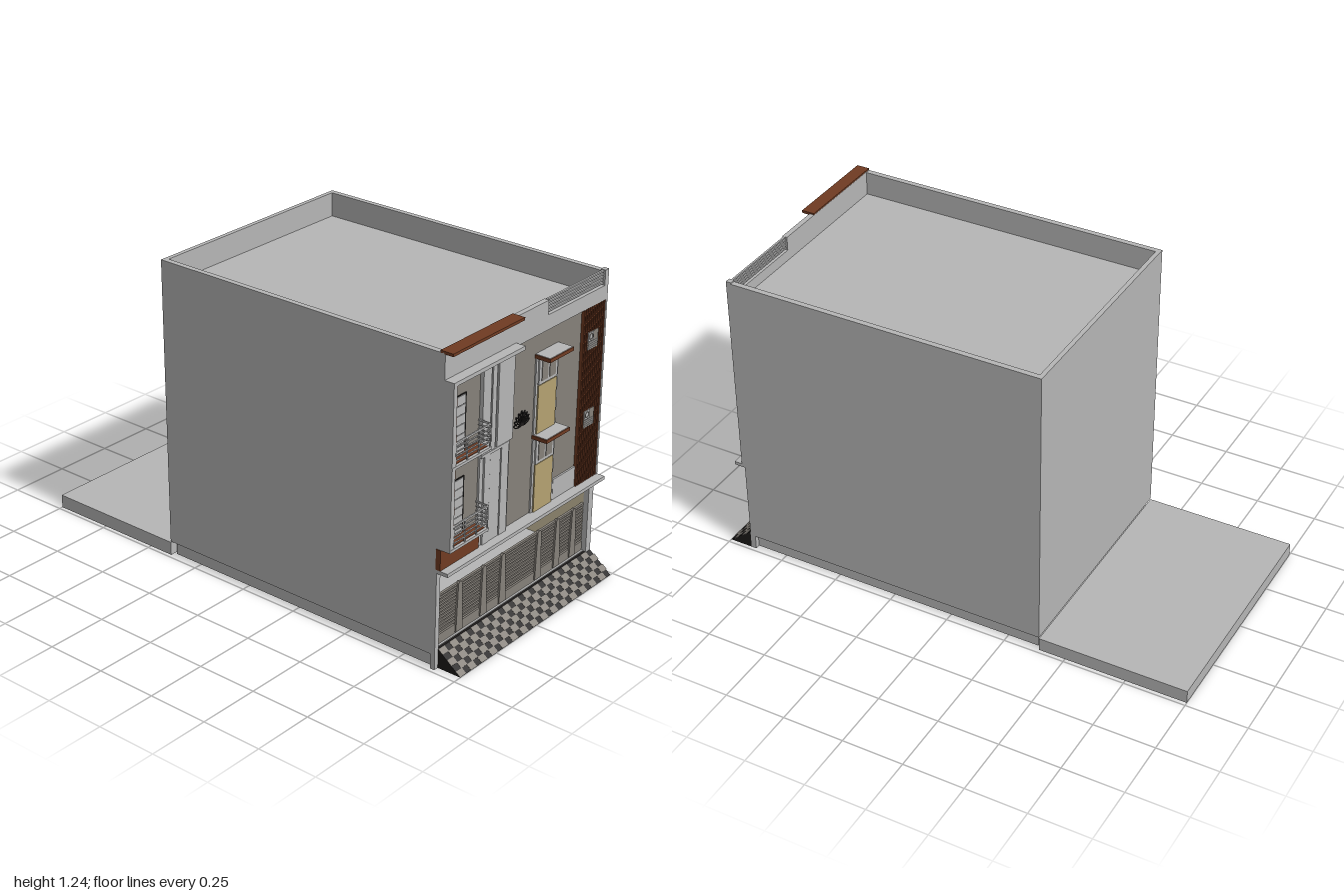
import * as THREE from 'three';
import { mergeGeometries } from 'three/addons/utils/BufferGeometryUtils.js';

const mat = (name, color) => {
  const m = new THREE.MeshStandardMaterial({ color });
  m.name = name;
  return m;
};

export function createModel() {
  const root = new THREE.Group();
  root.name = 'townhouse';
  const plaster = mat('light plaster', 0xb6b6b6);
  const taupe = mat('taupe wall', 0x86817a);
  const wood = mat('brown wood', 0x703b22);
  const cream = mat('cream wall', 0xd3c8a6);
  const tan = mat('tan panel', 0xb5a271);
  const black = mat('black', 0x1c1a19);

  const add = (name, material, geometry, parent = root) => {
    const m = new THREE.Mesh(geometry, material);
    m.name = name;
    parent.add(m);
    return m;
  };
  // Box from its limits: x0, x1, y0, y1, z0, z1
  const bx = (x0, x1, y0, y1, z0, z1) =>
    new THREE.BoxGeometry(x1 - x0, y1 - y0, z1 - z0)
      .translate((x0 + x1) / 2, (y0 + y1) / 2, (z0 + z1) / 2);
  const boxes = (name, material, list, parent) =>
    add(name, material, mergeGeometries(list.map((b) => bx(...b))), parent);

  // Foundation, rear yard and hollow ground floor
  boxes('foundation', plaster, [[-0.465, 0.465, 0, 0.08, -0.378, 0.89]]);
  boxes('rearYard', plaster, [[-0.485, 0.485, 0, 0.055, -1, -0.39]]);
  boxes('groundFloorWalls', plaster, [
    [-0.485, -0.463, 0.06, 0.4, -0.39, 0.9], [0.463, 0.485, 0.06, 0.4, -0.39, 0.9],
    [-0.463, 0.463, 0.06, 0.4, -0.39, -0.36],
    [-0.485, -0.463, 0, 0.06, 0.88, 0.9], [0.455, 0.485, 0, 0.395, 0.88, 0.902],
  ]);
  boxes('garageLining', cream, [
    [-0.463, -0.457, 0.08, 0.4, -0.35, 0.88], [0.457, 0.463, 0.08, 0.4, -0.35, 0.88],
    [-0.463, 0.463, 0.08, 0.4, -0.36, -0.352],
  ]);

  // Upper storeys, roof and parapet
  boxes('upperStoreys', plaster, [[-0.485, 0.485, 0.392, 1.135, -0.39, 0.895]]);
  boxes('parapet', plaster, [
    [-0.485, -0.463, 1.135, 1.232, -0.39, 0.895], [0.463, 0.485, 1.135, 1.232, -0.39, 0.895],
    [-0.463, 0.463, 1.135, 1.232, -0.39, -0.372],
    [-0.485, 0.485, 1.12, 1.178, 0.894, 0.915], [-0.485, 0.11, 1.178, 1.234, 0.894, 0.915],
    [0.463, 0.485, 1.178, 1.238, 0.894, 0.915], [0.475, 0.485, 0.4, 1.12, 0.894, 0.915],
  ]);
  boxes('parapetCap', wood, [[-0.485, -0.08, 1.229, 1.24, 0.895, 0.948]]);
  const rails = [];
  for (let i = 0; i < 5; i++) rails.push([0.11, 0.463, 1.184 + i * 0.0115, 1.190 + i * 0.0115, 0.9, 0.908]);
  boxes('parapetRails', plaster, rails);
  boxes('facadeWall', taupe, [[-0.465, 0.475, 0.408, 1.12, 0.893, 0.9]]);
  boxes('ledge', plaster, [[-0.485, 0.485, 0.393, 0.407, 0.88, 0.948]]);
  boxes('lowWallPanel', plaster, [[0.2, 0.342, 0.407, 0.49, 0.895, 0.907]]);

  // Chequered entry ramp
  const wedge = new THREE.Shape([[0.89, 0], [1, 0], [0.9, 0.077], [0.89, 0.077]].map((p) => new THREE.Vector2(...p)));
  add('ramp', black, new THREE.ExtrudeGeometry(wedge, { depth: 0.95, bevelEnabled: false })
    .rotateY(-Math.PI / 2).translate(0.485, 0, 0));
  const tiles = new THREE.Group();
  tiles.name = 'rampTiles';
  tiles.position.set(0, 0.077, 0.9);
  tiles.rotation.x = Math.atan2(0.077, 0.1);
  root.add(tiles);
  const tileList = [];
  const w = 0.95 / 30, d = 0.126 / 5;
  for (let r = 0; r < 5; r++)
    for (let c = 0; c < 30; c++)
      if ((r + c) % 2 === 0)
        tileList.push([-0.465 + c * w, -0.465 + (c + 1.12) * w, -0.001, 0.001, r * d, (r + 1) * d]);
  boxes('paleTiles', taupe, tileList, tiles);

  // Louvred folding gate with tapered posts
  const slats = [[-0.457, 0.457, 0.08, 0.118, 0.872, 0.882], [-0.457, 0.457, 0.274, 0.282, 0.872, 0.882]];
  for (let i = 0; i < 11; i++) {
    const y = 0.124 + i * 0.0138;
    slats.push([-0.457, 0.457, y, y + 0.0085, 0.874, 0.88]);
  }
  boxes('gateSlats', taupe, slats);
  const post = new THREE.Shape([[-0.02, 0.085], [-0.011, 0.28], [-0.004, 0.287], [0.004, 0.287], [0.011, 0.28], [0.02, 0.085]]
    .map((p) => new THREE.Vector2(...p)));
  for (const x of [-0.325, -0.18, -0.065, 0.16, 0.28, 0.385])
    add('gatePost', taupe, new THREE.ExtrudeGeometry(post, { depth: 0.012, bevelEnabled: false }))
      .position.set(x, 0, 0.875);

  // Balcony bay: side wall, head beam and wooden lining
  boxes('bayFrame', plaster, [
    [-0.485, -0.467, 0.49, 1.135, 0.894, 0.955], [-0.485, -0.08, 1.12, 1.135, 0.894, 0.955],
  ]);
  boxes('bayLining', wood, [[-0.467, -0.463, 0.5, 1.12, 0.9, 0.953]]);
  boxes('bayBasePanel', wood, [[-0.485, -0.262, 0.407, 0.488, 0.894, 0.915]]);

  // Two storeys of balcony and door
  for (const y of [0.49, 0.808]) {
    const g = new THREE.Group();
    g.name = 'balcony';
    g.position.y = y;
    root.add(g);
    boxes('balconySlab', plaster, [[-0.485, -0.262, 0, 0.011, 0.894, 0.956]], g);
    boxes('balconyFloor', wood, [[-0.463, -0.272, 0.011, 0.013, 0.9, 0.945]], g);
    const bars = [];
    for (let i = 0; i < 5; i++) {
      const h = 0.028 + i * 0.0165, t = i === 4 ? 0.007 : 0.0035;
      bars.push([-0.467, -0.264, h, h + t, 0.949, 0.954], [-0.268, -0.264, h, h + t, 0.9, 0.954]);
    }
    for (const x of [-0.465, -0.4, -0.333, -0.268]) bars.push([x, x + 0.004, 0.01, 0.1, 0.949, 0.954]);
    boxes('balconyRailing', plaster, bars, g);
    boxes('doorFrame', black, [[-0.44, -0.343, 0.011, 0.232, 0.898, 0.903]], g);
    const leaf = [];
    for (let i = 0; i < 6; i++) leaf.push([-0.437, -0.351, 0.012 + i * 0.0365, 0.046 + i * 0.0365, 0.9, 0.906]);
    boxes('doorLeaf', plaster, leaf, g);
    boxes('doorHandle', black, [[-0.433, -0.425, 0.11, 0.118, 0.904, 0.911]], g);
  }

  // Stepped pilasters beside the bay
  boxes('pilasters', plaster, [
    [-0.262, -0.1, 0.407, 0.765, 0.894, 0.908], [-0.262, -0.08, 0.765, 1.12, 0.894, 0.908],
    [-0.242, -0.21, 0.407, 0.757, 0.9, 0.915], [-0.207, -0.147, 0.407, 0.757, 0.9, 0.913],
    [-0.143, -0.1, 0.407, 0.757, 0.9, 0.915], [-0.262, -0.1, 0.757, 0.768, 0.9, 0.917],
    [-0.262, -0.216, 0.768, 1.12, 0.9, 0.915], [-0.205, -0.181, 0.768, 1.12, 0.9, 0.913],
    [-0.172, -0.08, 0.768, 1.12, 0.9, 0.915], [-0.1, -0.08, 0.407, 0.768, 0.894, 0.903],
  ]);

  // Window tower: two windows, each with a panel below and a canopy above
  for (const [base, sill, top] of [[0.407, 0.602, 0.71], [0.723, 0.917, 1.026]]) {
    const g = new THREE.Group();
    g.name = 'windowBay';
    root.add(g);
    boxes('windowFrame', plaster, [[0.063, 0.2, base, top, 0.894, 0.906], [0.075, 0.187, sill, top, 0.9, 0.912]], g);
    boxes('windowPanel', tan, [[0.075, 0.187, base, sill - 0.003, 0.9, 0.911]], g);
    boxes('windowPanes', taupe, [[0.09, 0.127, sill + 0.012, top - 0.012, 0.91, 0.914], [0.137, 0.174, sill + 0.012, top - 0.012, 0.91, 0.914]], g);
    boxes('canopy', wood, [[0.06, 0.205, top - 0.002, top + 0.012, 0.894, 0.966]], g);
    boxes('canopyTop', plaster, [[0.063, 0.202, top + 0.012, top + 0.014, 0.895, 0.963]], g);
  }

  // Vertical timber screen
  const fins = [];
  for (let i = 0; i < 11; i++) fins.push([0.344 + i * 0.0125, 0.351 + i * 0.0125, 0.407, 1.12, 0.895, 0.913]);
  boxes('timberScreen', wood, fins);

  // Cooling units on the screen
  for (const y of [0.635, 0.95]) {
    const g = new THREE.Group();
    g.name = 'coolingUnit';
    g.position.y = y;
    root.add(g);
    boxes('unitBody', taupe, [[0.372, 0.438, 0, 0.07, 0.9, 0.914]], g);
    const grille = [[0.372, 0.406, 0.036, 0.07, 0.91, 0.917]];
    for (let i = 0; i < 4; i++) grille.push([0.374, 0.436, 0.004 + i * 0.008, 0.007 + i * 0.008, 0.91, 0.916]);
    boxes('unitGrille', plaster, grille, g);
    add('unitFan', taupe, new THREE.TorusGeometry(0.011, 0.002, 4, 16).translate(0.389, 0.053, 0.917), g);
  }

  // Flower ornament: outlined petals fanned from one point
  const petalCurve = (s, k) => {
    const p = new s();
    const l = 0.06 * k, b = 0.013 * k, o = (1 - k) * 0.032;
    p.moveTo(0, o);
    p.quadraticCurveTo(b * 1.5, o + l * 0.55, 0, o + l);
    p.quadraticCurveTo(-b * 1.5, o + l * 0.55, 0, o);
    return p;
  };
  const petal = petalCurve(THREE.Shape, 1);
  petal.holes.push(petalCurve(THREE.Path, 0.76));
  const petals = [];
  for (let i = -4; i <= 4; i++) {
    const s = 1 - Math.abs(i) * 0.035;
    petals.push(new THREE.ExtrudeGeometry(petal, { depth: 0.004, bevelEnabled: false, curveSegments: 6 })
      .scale(s, s, 1).rotateZ(-i * 0.33).translate(-0.01, 0.787, 0.9));
  }
  add('flowerOrnament', black, mergeGeometries(petals));
  return root;
}
